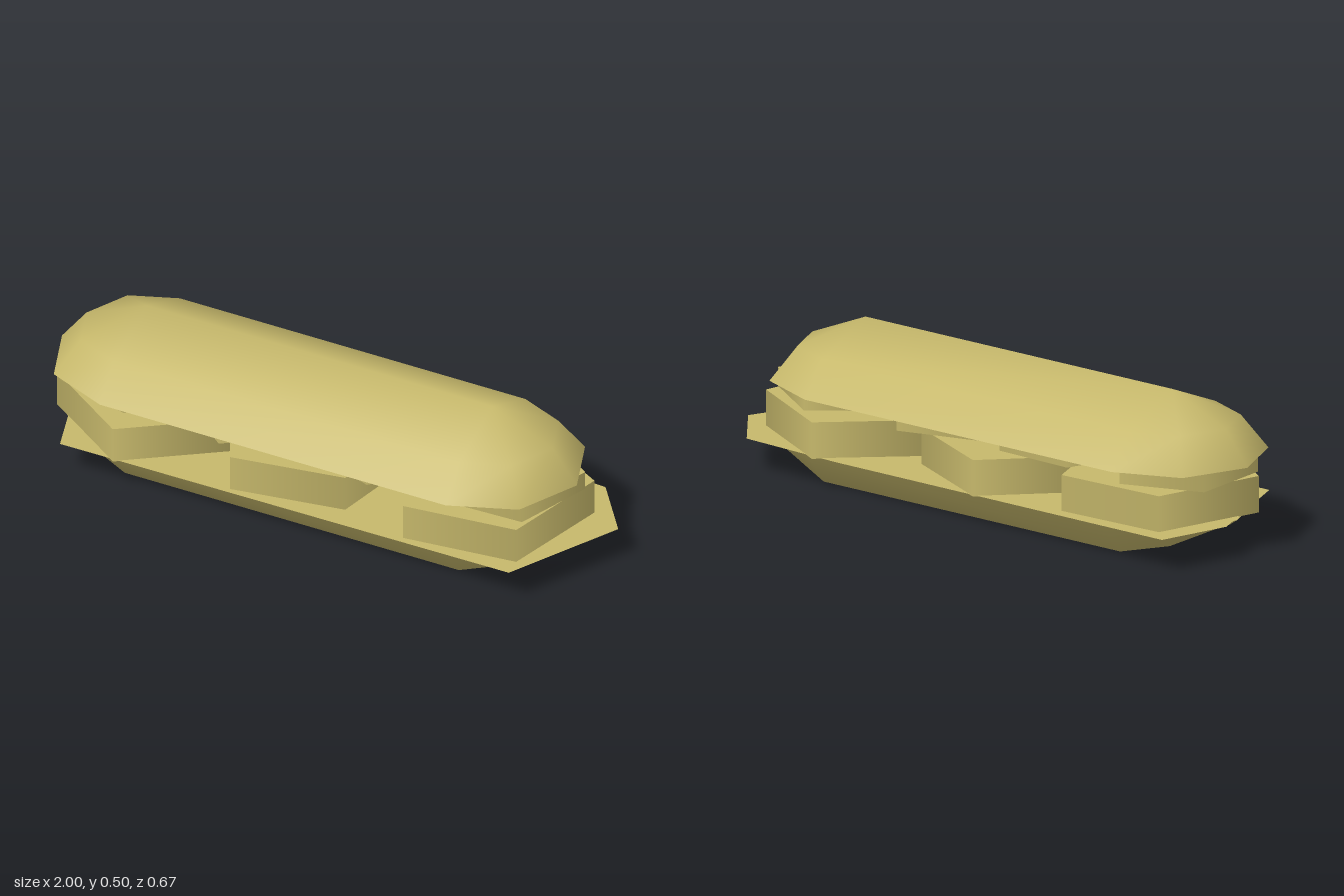
import * as THREE from 'three';
import { mergeVertices, mergeGeometries } from 'three/addons/utils/BufferGeometryUtils.js';

const material = new THREE.MeshStandardMaterial({ color: 0xc6b86b, side: THREE.DoubleSide });

// One loop of a bun: two half-circles of 45 degree steps, centred at x1 and x0
function loop(x0, x1, radius, y, tipLift = 0) {
  const points = [];
  for (const [cx, start] of [[x1, -90], [x0, 90]]) {
    for (let i = 0; i < 5; i++) {
      const a = THREE.MathUtils.degToRad(start + i * 45);
      points.push([cx + radius * Math.cos(a), y + tipLift * Math.cos(a) ** 2, radius * Math.sin(a)]);
    }
  }
  return points;
}

function build(points, index) {
  const g = new THREE.BufferGeometry();
  g.setAttribute('position', new THREE.Float32BufferAttribute(points.flat(), 3));
  g.setIndex(index);
  const merged = mergeVertices(g, 1e-4);
  merged.computeVertexNormals();
  return merged;
}

// Smooth crust lofted through the loops (rim first, ridge last) plus a flat cut face
function bunGeometry(loops, up) {
  const n = loops[0].length;
  const crust = [], face = [];
  const add = (list, a, b, c) => (up ? list.push(a, c, b) : list.push(a, b, c));
  for (let r = 0; r < loops.length - 1; r++) {
    for (let i = 0; i < n; i++) {
      const a = r * n + i, b = r * n + (i + 1) % n;
      add(crust, a, b, a + n);
      add(crust, b, b + n, a + n);
    }
  }
  for (let i = 1; i < n - 1; i++) add(face, 0, i + 1, i);
  return mergeGeometries([build(loops.flat(), crust), build(loops[0], face)]);
}

export function createModel() {
  const group = new THREE.Group();
  const add = (name, geometry) => {
    const mesh = new THREE.Mesh(geometry, material);
    mesh.name = name;
    group.add(mesh);
    return mesh;
  };

  // Bread halves
  add('topBun', bunGeometry([
    loop(-0.69, 0.585, 0.312, 0.298),
    loop(-0.69, 0.585, 0.222, 0.412),
    loop(-0.69, 0.585, 0, 0.505),
  ], true));
  add('bottomBun', bunGeometry([
    loop(-0.65, 0.582, 0.307, 0.112),
    loop(-0.65, 0.582, 0.218, 0, 0.065),
    loop(-0.65, 0.582, 0, 0),
  ], false));

  // Thin leaf lying on the bottom bread
  const outline = [[-0.91, -0.325], [0.45, -0.318], [0.84, -0.295], [1, -0.09],
    [0.82, 0.315], [-0.03, 0.32], [-0.83, 0.325], [-0.98, -0.08]];
  const leaf = new THREE.ShapeGeometry(new THREE.Shape(outline.map(([x, z]) => new THREE.Vector2(x, -z))));
  leaf.rotateX(-Math.PI / 2);
  add('lettuce', leaf).position.y = 0.114;

  // Five-sided slices: centre x and direction of one corner, from +x towards +z
  const slices = (name, radius, bottom, top, list) => list.forEach(([x, degrees], i) => {
    const start = THREE.MathUtils.degToRad(90 - degrees);
    const g = new THREE.CylinderGeometry(radius, radius, top - bottom, 5, 1, false, start);
    add(name + (i + 1), g).position.set(x, (bottom + top) / 2, 0);
  });
  slices('patty', 0.335, 0.112, 0.235, [[-0.642, 88], [-0.07, -100], [0.58, -97]]);
  slices('tomatoSlice', 0.246, 0.235, 0.298, [[-0.73, 70], [-0.28, 92], [0.185, -70], [0.65, -92]]);

  return group;
}
